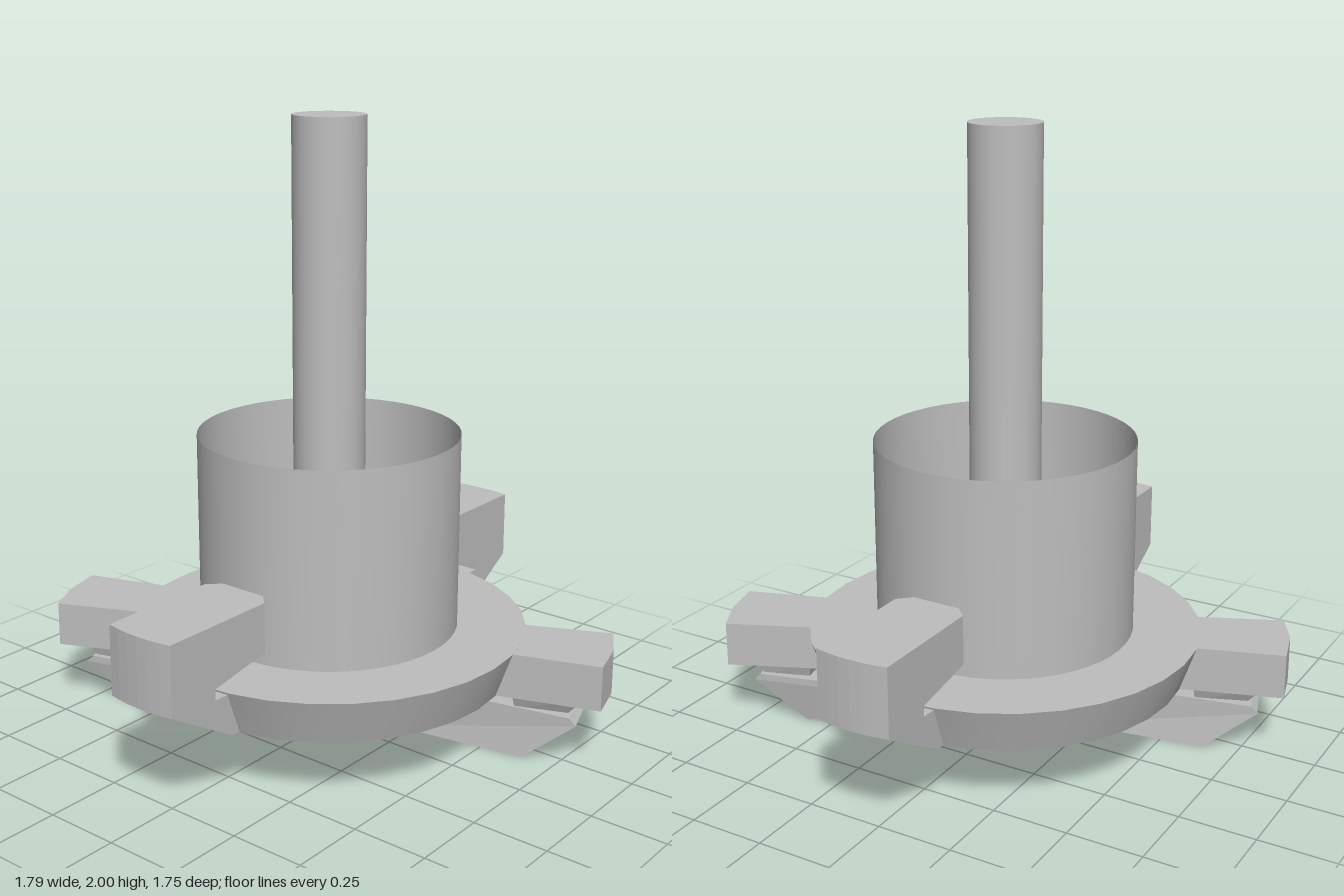
import * as THREE from 'three';
import { toCreasedNormals } from 'three/addons/utils/BufferGeometryUtils.js';

const steel = new THREE.MeshStandardMaterial({ color: 0xbebebe, side: THREE.DoubleSide });
steel.name = 'steel grey';

function part(name, geometry) {
  const mesh = new THREE.Mesh(geometry, steel);
  mesh.name = name;
  return mesh;
}

// Upright round part from y0 to y1
function round(name, rBottom, rTop, y0, y1, segments, open = false) {
  const g = new THREE.CylinderGeometry(rTop, rBottom, y1 - y0, segments, 1, open);
  g.translate(0, (y0 + y1) / 2, 0);
  return part(name, toCreasedNormals(g, 0.6));
}

// Solid stacked from [x, z] outlines with equal point counts, each at its own height
function stack(name, levels) {
  const pos = [];
  const n = levels[0].pts.length;
  const at = (l, i) => {
    const [x, z] = levels[l].pts[i % n];
    return [x, levels[l].y, z];
  };
  const tri = (a, b, c) => pos.push(...a, ...b, ...c);
  for (let l = 0; l < levels.length - 1; l++) {
    for (let i = 0; i < n; i++) {
      tri(at(l, i), at(l, i + 1), at(l + 1, i + 1));
      tri(at(l, i), at(l + 1, i + 1), at(l + 1, i));
    }
  }
  const last = levels.length - 1;
  const flat = l => levels[l].pts.map(([x, z]) => new THREE.Vector2(x, -z));
  for (const [a, b, c] of THREE.ShapeUtils.triangulateShape(flat(0), [])) tri(at(0, a), at(0, c), at(0, b));
  for (const [a, b, c] of THREE.ShapeUtils.triangulateShape(flat(last), [])) tri(at(last, a), at(last, b), at(last, c));
  const g = new THREE.BufferGeometry();
  g.setAttribute('position', new THREE.Float32BufferAttribute(pos, 3));
  g.computeVertexNormals();
  return part(name, g);
}

const turned = pts => [...pts, ...pts.map(([x, z]) => [-x, -z])];

// Clip hooked over the disc: side profile in (z, y), bevelled inner nose, bowed outer face
function clip() {
  const profile = [
    [0.42, 0.44], [0.68, 0.4], [0.68, 0.365], [0.5, 0.36], [0.5, 0.225],
    [0.61, 0.225], [0.873, 0.375], [0.873, 0.6], [0.42, 0.6],
  ];
  const half = 0.122;
  const shape = new THREE.Shape(profile.map(p => new THREE.Vector2(...p)));
  const g = new THREE.ExtrudeGeometry(shape, { depth: half * 2, steps: 6, bevelEnabled: false });
  g.translate(0, 0, -half);
  g.rotateY(-Math.PI / 2);
  const p = g.attributes.position;
  for (let i = 0; i < p.count; i++) {
    const side = Math.abs(p.getX(i)) / half;
    const z = p.getZ(i);
    if (z < 0.43 && side > 0.9) p.setZ(i, 0.46);
    if (z > 0.87) p.setZ(i, z - 0.013 * side * side);
  }
  g.computeVertexNormals();
  return part('clip', g);
}

export function createModel() {
  const model = new THREE.Group();
  model.name = 'rotaryTool';

  // Shaft, open cup and the boss on its floor
  model.add(round('shaft', 0.115, 0.115, 0.36, 2, 40));
  model.add(round('cup', 0.42, 0.42, 0.365, 1.01, 48, true));
  model.add(round('boss', 0.238, 0.215, 0.365, 0.55, 48));

  // Tapered disc
  model.add(round('disc', 0.59, 0.642, 0.22, 0.37, 32));

  // Matching halves: clip, side arm and the links that carry the blade
  for (const angle of [0, Math.PI]) {
    const half = new THREE.Group();
    half.name = 'half';
    half.rotation.y = angle;
    half.add(clip());

    const arm = [[0.3, -0.255], [0.3, -0.02], [0.63, -0.135], [0.893, -0.225], [0.855, -0.36], [0.79, -0.475], [0.535, -0.36]];
    half.add(stack('sideArm', [{ y: 0.221, pts: arm }, { y: 0.369, pts: arm }]));

    half.add(stack('outerLink', [
      { y: 0.15, pts: [[0.6, -0.2], [0.75, -0.26], [0.72, -0.36], [0.58, -0.31]] },
      { y: 0.23, pts: [[0.6, -0.17], [0.82, -0.25], [0.77, -0.4], [0.56, -0.33]] },
    ]));
    half.add(stack('innerLink', [
      { y: 0.15, pts: [[0.3, -0.13], [0.43, -0.155], [0.43, -0.27], [0.3, -0.245]] },
      { y: 0.23, pts: [[0.26, -0.12], [0.5, -0.15], [0.5, -0.3], [0.26, -0.25]] },
    ]));
    model.add(half);
  }

  // Stepped blade with undercut ends
  const foot = turned([[0.18, -0.1], [0.64, -0.18], [0.59, -0.32], [0.05, -0.2]]);
  const shoulder = turned([[0.18, -0.1], [0.805, -0.23], [0.75, -0.39], [0.05, -0.2]]);
  const top = turned([[0.18, -0.1], [0.785, -0.226], [0.73, -0.385], [0.05, -0.2]]);
  model.add(stack('blade', [{ y: 0, pts: foot }, { y: 0.14, pts: shoulder }, { y: 0.163, pts: top }]));

  return model;
}
